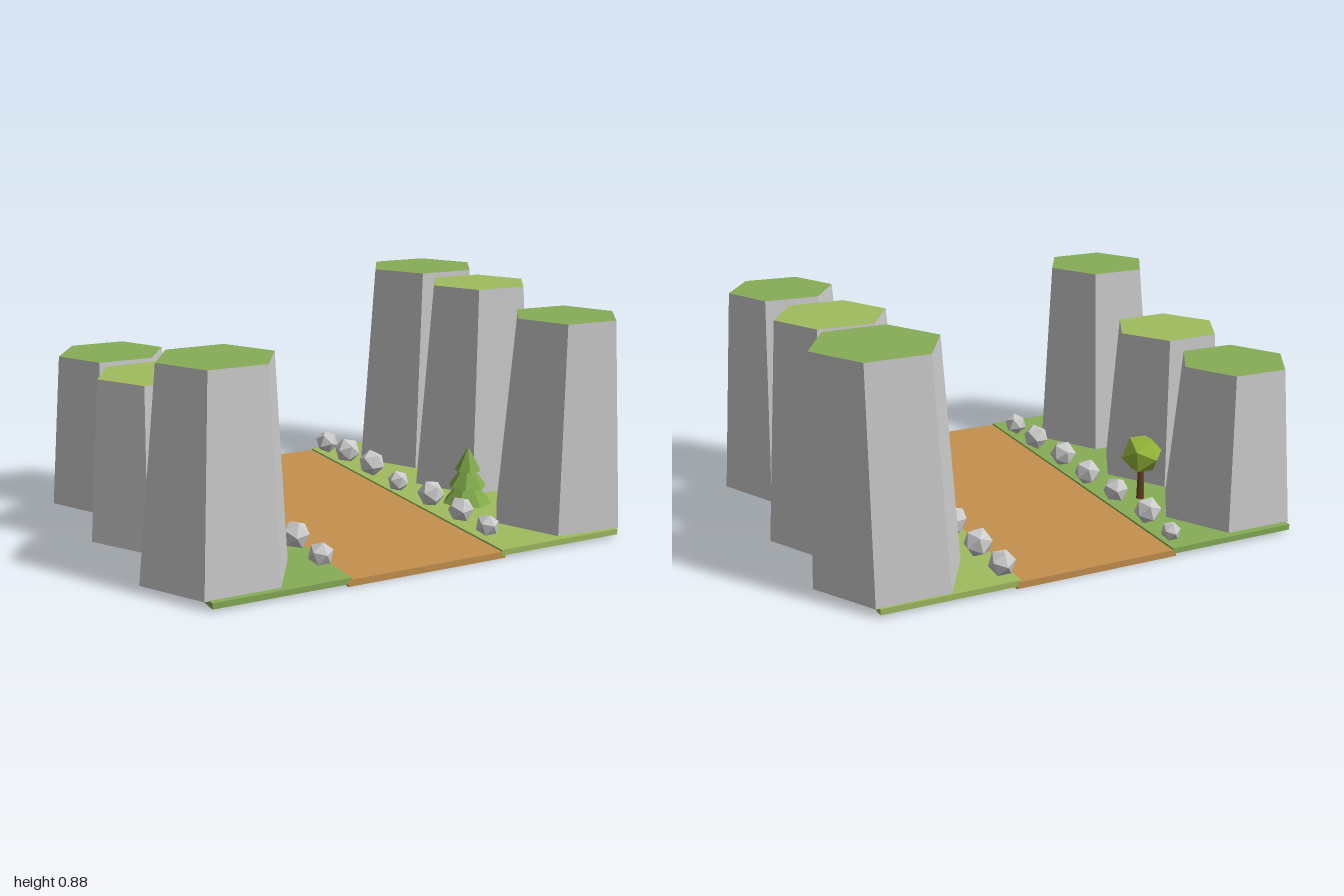
import * as THREE from 'three';

const mat = (color) => new THREE.MeshStandardMaterial({ color, flatShading: true });
const stone = mat(0xcccccc);
const grass = mat(0x86ac56);
const lightGrass = mat(0xa0bc5f);
const dirt = mat(0xc4914e);
const bark = mat(0x6b4423);
const leaf = mat(0x95b83a);
const needle = mat(0x7fa84a);

function add(parent, name, geometry, material, x = 0, y = 0, z = 0) {
  const mesh = new THREE.Mesh(geometry, material);
  mesh.name = name;
  mesh.position.set(x, y, z);
  parent.add(mesh);
  return mesh;
}

// Six-sided tapering rock column whose top ring may lean away from its base
function pillar(parent, name, topMaterial, height, base, top, turn) {
  const [bx, bz, br] = base;
  const [tx, tz, tr] = top;
  const h = height - 0.03;
  const g = new THREE.CylinderGeometry(tr, br, h, 6, 1, false, Math.PI / 6);
  g.rotateY(-THREE.MathUtils.degToRad(turn));
  g.translate(0, h / 2, 0);
  const p = g.attributes.position;
  for (let i = 0; i < p.count; i++) {
    const t = p.getY(i) / h;
    p.setX(i, p.getX(i) + (tx - bx) * t);
    p.setZ(i, p.getZ(i) + (tz - bz) * t);
  }
  g.computeVertexNormals();
  add(parent, name, g, [stone, topMaterial, stone], bx, 0.03, bz);
}

// Row of rocks along one edge of the path: [x, z, radius]
function rockRow(parent, name, rocks) {
  const row = new THREE.Group();
  row.name = name;
  rocks.forEach(([x, z, r], i) => {
    const rock = add(row, 'rock', new THREE.IcosahedronGeometry(r), stone, x, 0.03 + r * 0.92, z);
    rock.rotation.set(0.55 + i * 0.4, i * 1.3, i * 0.7);
  });
  parent.add(row);
}

export function createModel() {
  const model = new THREE.Group();
  model.name = 'canyonPath';

  // Ground strips
  add(model, 'path', new THREE.BoxGeometry(0.65, 0.025, 1.555), dirt, -0.01, 0.0125, -0.003);
  add(model, 'rightGrass', new THREE.BoxGeometry(0.52, 0.022, 1.555), grass, -0.582, 0.021, -0.003);
  add(model, 'leftGrass', new THREE.BoxGeometry(0.525, 0.022, 1.555), lightGrass, 0.562, 0.021, -0.003);

  // Rock columns with grassy tops: base and top as [x, z, radius]
  pillar(model, 'rightBackPillar', grass, 0.63, [-0.724, -0.52, 0.268], [-0.729, -0.52, 0.214], 1);
  pillar(model, 'rightMiddlePillar', lightGrass, 0.64, [-0.74, -0.012, 0.262], [-0.735, -0.028, 0.216], -2);
  pillar(model, 'rightFrontPillar', grass, 0.8, [-0.72, 0.507, 0.28], [-0.704, 0.513, 0.218], 0);
  pillar(model, 'leftBackPillar', grass, 0.88, [0.698, -0.53, 0.278], [0.722, -0.53, 0.236], 0);
  pillar(model, 'leftMiddlePillar', lightGrass, 0.87, [0.717, -0.08, 0.272], [0.722, -0.075, 0.21], 2);
  pillar(model, 'leftFrontPillar', grass, 0.83, [0.722, 0.52, 0.268], [0.72, 0.538, 0.208], 4);

  // Rocks lining the path
  rockRow(model, 'rightRocks', [
    [-0.357, -0.705, 0.038], [-0.366, -0.524, 0.054], [-0.364, -0.283, 0.052],
    [-0.354, -0.068, 0.055], [-0.366, 0.167, 0.055], [-0.356, 0.402, 0.055], [-0.361, 0.614, 0.048],
  ]);
  rockRow(model, 'leftRocks', [
    [0.34, -0.708, 0.051], [0.346, -0.522, 0.057], [0.344, -0.294, 0.057],
    [0.33, -0.042, 0.045], [0.346, 0.193, 0.055], [0.346, 0.417, 0.052], [0.34, 0.612, 0.046],
  ]);

  // Round tree
  const roundTree = new THREE.Group();
  roundTree.name = 'roundTree';
  roundTree.position.set(-0.465, 0.03, -0.305);
  add(roundTree, 'trunk', new THREE.CylinderGeometry(0.012, 0.016, 0.14, 6), bark, 0, 0.07, 0);
  const crown = add(roundTree, 'crown', new THREE.IcosahedronGeometry(0.083), leaf, 0, 0.19, 0);
  crown.rotation.set(0.5, 0.3, 0);
  model.add(roundTree);

  // Conifer of three stacked cones
  const conifer = new THREE.Group();
  conifer.name = 'conifer';
  conifer.position.set(0.436, 0.03, 0.32);
  add(conifer, 'trunk', new THREE.CylinderGeometry(0.014, 0.016, 0.06, 6), bark, 0, 0.03, 0);
  [[0.098, 0.04, 0.12], [0.075, 0.105, 0.105], [0.052, 0.17, 0.095]].forEach(([r, y, h], i) => {
    const tier = add(conifer, 'branchTier', new THREE.ConeGeometry(r, h, 7), needle, 0, y + h / 2, 0);
    tier.rotation.y = i * 0.25;
  });
  model.add(conifer);

  return model;
}
